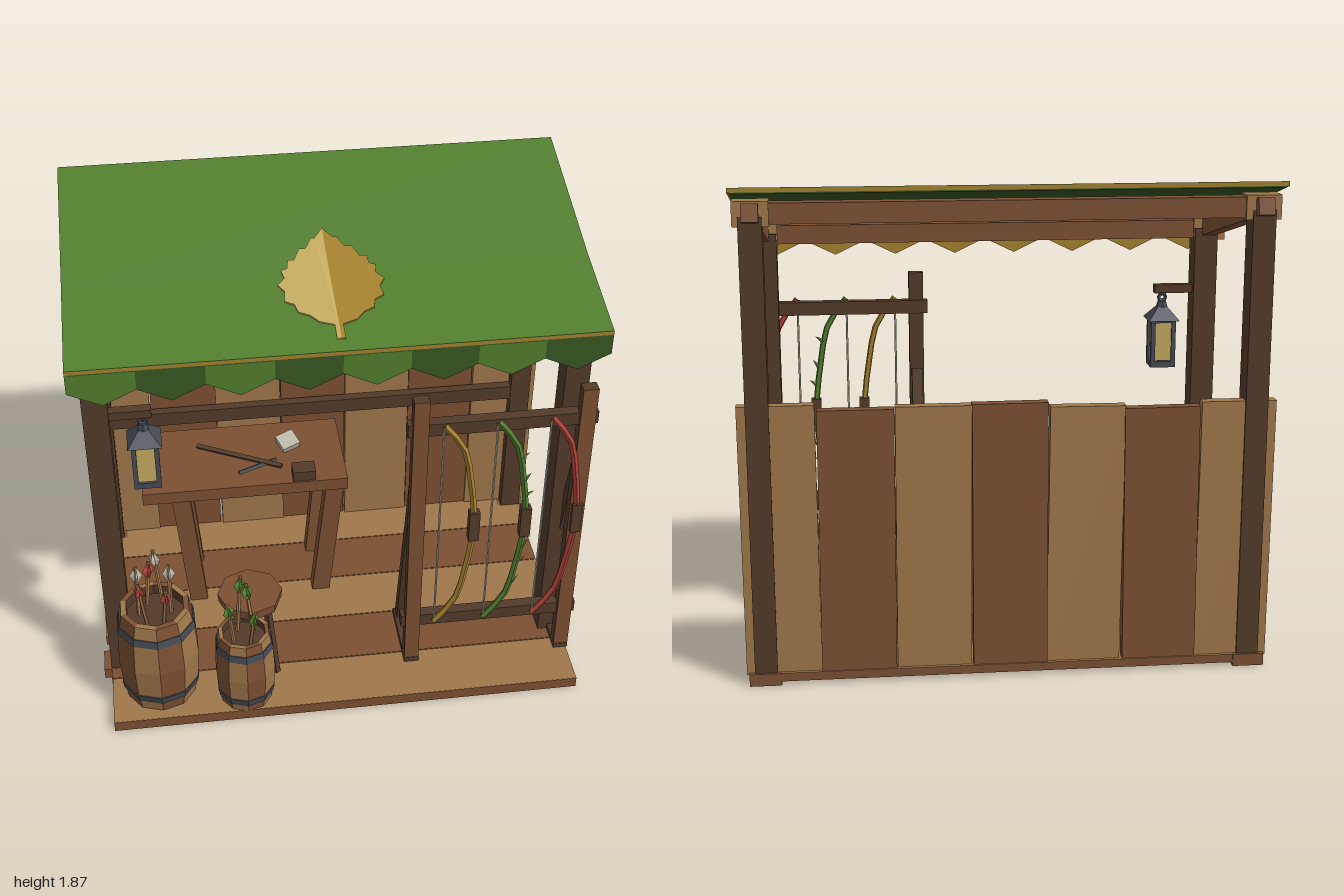
import * as THREE from 'three';

const paint = (name, color) => {
  const m = new THREE.MeshStandardMaterial({ color });
  m.name = name;
  return m;
};
const dark = paint('dark wood', 0x533b2a), mid = paint('brown wood', 0x7d5033), tan = paint('tan wood', 0xa0774b);
const green = paint('leaf green', 0x527f2f), deep = paint('deep green', 0x375722);
const gold = paint('gold', 0xa4812f), pale = paint('pale gold', 0xc4ab60);
const iron = paint('iron', 0x454b54), red = paint('red', 0xb0413a), cloth = paint('off white', 0xb9b5a6);

const V = (x, y, z) => new THREE.Vector3(x, y, z);

// Faceted mesh placed in a parent
function add(parent, name, geo, mat, x = 0, y = 0, z = 0) {
  const g = geo.index ? geo.toNonIndexed() : geo;
  g.computeVertexNormals();
  const m = new THREE.Mesh(g, mat);
  m.name = name;
  m.position.set(x, y, z);
  parent.add(m);
  return m;
}
const box = (p, name, mat, w, h, d, x, y, z) => add(p, name, new THREE.BoxGeometry(w, h, d), mat, x, y, z);

// Bar or rod running from point a to point b
function strut(p, name, mat, a, b, w, d, round = false) {
  const dir = b.clone().sub(a), len = dir.length();
  const geo = round ? new THREE.CylinderGeometry(w / 2, w / 2, len, 5) : new THREE.BoxGeometry(w, len, d);
  const m = add(p, name, geo, mat);
  m.position.copy(a).add(b).multiplyScalar(0.5);
  m.quaternion.setFromUnitVectors(V(0, 1, 0), dir.normalize());
  return m;
}
function group(parent, name, x = 0, y = 0, z = 0) {
  const g = new THREE.Group();
  g.name = name;
  g.position.set(x, y, z);
  parent.add(g);
  return g;
}
const outline = pts => new THREE.Shape(pts.map(([x, y]) => new THREE.Vector2(x, y)));
const plate = (pts, depth) => new THREE.ExtrudeGeometry(outline(pts), { depth, bevelEnabled: false });

// Height of the roof surface
const roofY = z => 1.712 - z * (z > 0 ? 0.2 : 0.252);

function roof(root) {
  const g = group(root, 'roof');
  // Cloth, gold edge and lining as three thin layers
  [[green, 0, 0.002, 0.995], [gold, 0.002, 0.015, 0.995], [deep, 0.017, 0.005, 0.985]].forEach(([mat, drop, t, w]) => {
    const top = [0.411, 0, -0.645].map(z => [z, roofY(z) - drop]);
    const geo = plate([...top, ...top.map(([z, y]) => [z, y - t]).reverse()], 2 * w);
    add(g, 'roofLayer', geo.rotateY(-Math.PI / 2).translate(w, 0, 0), mat);
  });
  // Pointed valance with gold backing
  const w = 1.99 / 8;
  for (let i = 0; i < 8; i++) {
    const pts = [[0, 1.617], [0, 1.53], [w / 2, 1.47], [w, 1.53], [w, 1.617]];
    add(g, 'valancePanel', plate(pts, 0.002), i % 2 ? deep : green, -0.995 + i * w, 0, 0.408);
    add(g, 'valanceLining', plate(pts, 0.006), gold, -0.995 + i * w, 0, 0.402);
  }
  // Leaf emblem with toothed edge, one half per side
  const half = [[0, 0.215], [0.035, 0.165], [0.05, 0.165], [0.075, 0.115], [0.1, 0.115], [0.125, 0.06], [0.15, 0.06],
    [0.155, 0.02], [0.18, 0.01], [0.172, -0.03], [0.2, -0.065], [0.178, -0.1], [0.185, -0.15], [0.15, -0.17],
    [0.14, -0.21], [0.1, -0.23], [0.07, -0.265], [0.016, -0.285], [0.016, -0.355], [0, -0.355], [0, 0]];
  for (const s of [-1, 1]) {
    const geo = plate(half.map(([x, y]) => [x * s, y]), 0.005).rotateX(-Math.PI / 2);
    const p = geo.attributes.position;
    for (let i = 0; i < p.count; i++) p.setY(i, p.getY(i) + roofY(p.getZ(i)) + 0.003);
    add(g, 'leafHalf', geo, s < 0 ? pale : gold);
  }
}

function frame(root) {
  const g = group(root, 'frame');
  // Floor planks on cross battens
  for (let i = 0; i < 5; i++) {
    const face = i % 2 ? mid : tan, end = i ? 0.975 - (i % 2) * 0.02 : 0.952, z = 0.503 - i * 0.247;
    const geo = new THREE.BoxGeometry(end * 2, 0.033, 0.242);
    add(g, 'floorPlank', geo, [mid, mid, face, face, mid, mid], 0, 0.031, z);
    box(g, 'floorBatten', mid, end * 2, 0.045, 0.03, 0, 0.0235, z + 0.107);
  }
  for (const s of [-1, 1]) {
    box(g, 'frontFoot', mid, 0.12, 0.048, 0.11, s * 0.925, 0.024, 0.27);
    box(g, 'backFoot', mid, 0.12, 0.048, 0.11, s * 0.925, 0.024, -0.555);
    box(g, 'frontPost', dark, 0.095, 1.55, 0.1, s * 0.907, 0.81, 0.27);
    box(g, 'backPost', dark, 0.085, 1.73, 0.1, s * 0.922, 0.9, -0.55);
    strut(g, 'rafter', mid, V(s * 0.92, 1.56, 0.35), V(s * 0.92, 1.785, -0.63), 0.06, 0.065);
    box(g, 'frontBeamEnd', tan, 0.13, 0.09, 0.08, s * 0.92, 1.58, 0.27);
    box(g, 'backBeamEnd', tan, 0.13, 0.09, 0.085, s * 0.92, 1.775, -0.55);
  }
  box(g, 'frontBeam', mid, 1.8, 0.075, 0.065, 0, 1.58, 0.27);
  box(g, 'backBeam', mid, 1.8, 0.075, 0.07, 0, 1.775, -0.55);
  // Back wall of upright boards
  [1.055, 1.04, 1.05, 1.07, 1.065, 1.06, 1.08].forEach((top, i) => {
    const b = box(g, 'wallBoard', i % 2 ? mid : tan, 0.282, top - 0.04, 0.045, -0.855 + i * 0.285, (top + 0.04) / 2, -0.57 - (i % 2) * 0.008);
    b.rotation.z = [0.004, -0.006, 0.008, -0.003, 0.004, 0.004, -0.003][i];
  });
  box(g, 'wallRail', dark, 1.8, 0.065, 0.04, 0, 0.7, -0.525);
}

function lantern(root) {
  const g = group(root, 'lantern', -0.737, 0, 0.27);
  box(g, 'lanternArm', dark, 0.17, 0.035, 0.04, -0.05, 1.327, 0);
  add(g, 'lanternRing', new THREE.TorusGeometry(0.014, 0.008, 5, 8), iron, 0, 1.29, 0);
  add(g, 'lanternCap', new THREE.CylinderGeometry(0.018, 0.025, 0.025, 6), iron, 0, 1.262, 0);
  add(g, 'lanternRoof', new THREE.CylinderGeometry(0.026, 0.092, 0.055, 4).rotateY(Math.PI / 4), iron, 0, 1.225, 0);
  box(g, 'lanternGlass', pale, 0.085, 0.17, 0.085, 0, 1.11, 0);
  box(g, 'lanternBase', iron, 0.104, 0.025, 0.1, 0, 1.01, 0);
  box(g, 'lanternTop', iron, 0.104, 0.015, 0.1, 0, 1.195, 0);
  for (const x of [-1, 1]) for (const z of [-1, 1]) box(g, 'lanternBar', iron, 0.018, 0.19, 0.018, x * 0.043, 1.1, z * 0.041);
}

function bow(parent, x, mat, thorny) {
  const g = group(parent, 'bow', x, 0, 0.438);
  const pts = [[0, 1.28], [0.08, 1.165], [0.115, 1.0], [0.135, 0.84], [0.135, 0.71], [0.115, 0.55], [0.08, 0.385], [0, 0.27]];
  const curve = new THREE.CatmullRomCurve3(pts.map(([a, b]) => V(a, b, 0)));
  add(g, 'bowLimbs', new THREE.TubeGeometry(curve, 14, 0.013, 5), mat);
  box(g, 'bowGrip', dark, 0.042, 0.14, 0.036, 0.138, 0.775, 0);
  strut(g, 'bowString', cloth, V(0, 1.27, 0), V(0, 0.28, 0), 0.009, 0, true);
  if (!thorny) return;
  // Thorns growing along the limbs
  [0.2, 0.3, 0.38, 0.62, 0.7, 0.8].forEach((t, i) => {
    const p = curve.getPointAt(t);
    const m = add(g, 'thorn', new THREE.ConeGeometry(0.011, 0.04, 4), green, p.x + 0.018, p.y + 0.012, 0);
    m.rotation.z = i % 2 ? -0.7 : -1.0;
  });
}

function rack(root) {
  const g = group(root, 'bowRack');
  for (const x of [0.29, 0.928]) {
    box(g, 'rackPost', [dark, dark, dark, dark, mid, dark], 0.06, 1.34, 0.048, x, 0.72, 0.414);
    strut(g, 'rackBrace', dark, V(x, 0.98, 0.385), V(x, 0.05, 0.17), 0.045, 0.045);
    box(g, 'rackFoot', dark, 0.06, 0.025, 0.3, x, 0.058, 0.29);
  }
  for (const y of [1.247, 0.265]) box(g, 'rackRail', dark, 0.73, 0.055, 0.045, 0.608, y, 0.4);
  bow(g, 0.377, gold);
  bow(g, 0.582, green, true);
  bow(g, 0.787, red);
}

function arrow(parent, x, z, lean, turn, low, len, mat) {
  const g = group(parent, 'arrow', x, low, z);
  g.rotation.set(lean * Math.cos(turn), turn, -lean * Math.sin(turn));
  add(g, 'arrowShaft', new THREE.CylinderGeometry(0.008, 0.008, len, 5), tan, 0, len / 2, 0);
  for (const a of [0, Math.PI / 2]) {
    const vane = new THREE.OctahedronGeometry(1).scale(0.026, 0.044, 0.009).rotateY(a);
    add(g, 'arrowFletching', vane, mat, 0, len - 0.04, 0);
  }
}

// Barrel with alternating staves, iron hoops and a sunken top
function barrel(root, x, z, r, h, colors) {
  const g = group(root, 'barrel', x, 0.045, z), n = 10;
  const prof = [[0, 0], [0.84, 0], [0.95, 0.22], [1, 0.5], [0.95, 0.78], [0.84, 1], [0.7, 1], [0.7, 0.9], [0, 0.9]];
  const geo = new THREE.LatheGeometry(prof.map(([a, b]) => new THREE.Vector2(a * r, b * h)), n);
  const per = (prof.length - 1) * 6;
  for (let i = 0; i < n; i++) {
    geo.addGroup(i * per, 36, i % 2);
    geo.addGroup(i * per + 36, per - 36, 2);
  }
  add(g, 'barrelStaves', geo, [mid, tan, dark]);
  for (const [t, top, low] of [[0.16, 0.965, 0.925], [0.84, 0.925, 0.965]])
    add(g, 'barrelHoop', new THREE.CylinderGeometry(r * top, r * low, 0.032, n), iron, 0, t * h, 0);
  // Arrows fanned around the middle
  colors.forEach((mat, i) => {
    const a = i / colors.length * Math.PI * 2 + 0.5, d = r * 0.38;
    arrow(g, Math.sin(a) * d, Math.cos(a) * d, 0.22, a, h * 0.88, 0.2 + (i % 3) * 0.025, mat);
  });
}

function furniture(root) {
  // Workbench with legs leaning in
  const t = group(root, 'workbench', -0.345, 0, -0.205);
  box(t, 'benchTop', mid, 0.85, 0.055, 0.415, 0, 0.677, 0);
  for (const sz of [-1, 1]) for (const [low, high] of [[-0.22, -0.27], [0.315, 0.375]])
    strut(t, 'benchLeg', mid, V(low, 0.045, sz * 0.125), V(high, 0.655, sz * 0.15), 0.075, 0.065);
  box(t, 'woodBlock', dark, 0.095, 0.045, 0.07, 0.245, 0.727, 0.165);
  strut(t, 'unfinishedBow', dark, V(-0.18, 0.71, -0.08), V(0.16, 0.71, 0.1), 0.022, 0.018);
  strut(t, 'knife', iron, V(-0.02, 0.708, 0.12), V(0.14, 0.708, 0.05), 0.016, 0.01);
  const bundle = box(t, 'featherBundle', cloth, 0.08, 0.03, 0.075, 0.2, 0.73, -0.04);
  bundle.rotation.set(0.35, 0.4, 0);
  // Three-legged stool
  const s = group(root, 'stool', -0.368, 0, 0.345);
  add(s, 'stoolSeat', new THREE.CylinderGeometry(0.132, 0.127, 0.042, 8), mid, 0, 0.418, 0);
  for (let i = 0; i < 3; i++) {
    const a = i * Math.PI * 2 / 3 + 0.9, c = Math.sin(a), d = Math.cos(a);
    strut(s, 'stoolLeg', dark, V(c * 0.12, 0.03, d * 0.12), V(c * 0.08, 0.4, d * 0.08), 0.035, 0, true);
  }
  barrel(root, -0.752, 0.44, 0.168, 0.455, [red, cloth, cloth, red, cloth, red]);
  barrel(root, -0.41, 0.525, 0.124, 0.355, [green, green, green, green]);
}

export function createModel() {
  const root = new THREE.Group();
  root.name = 'archeryStall';
  [frame, roof, lantern, rack, furniture].forEach(build => build(root));
  return root;
}
